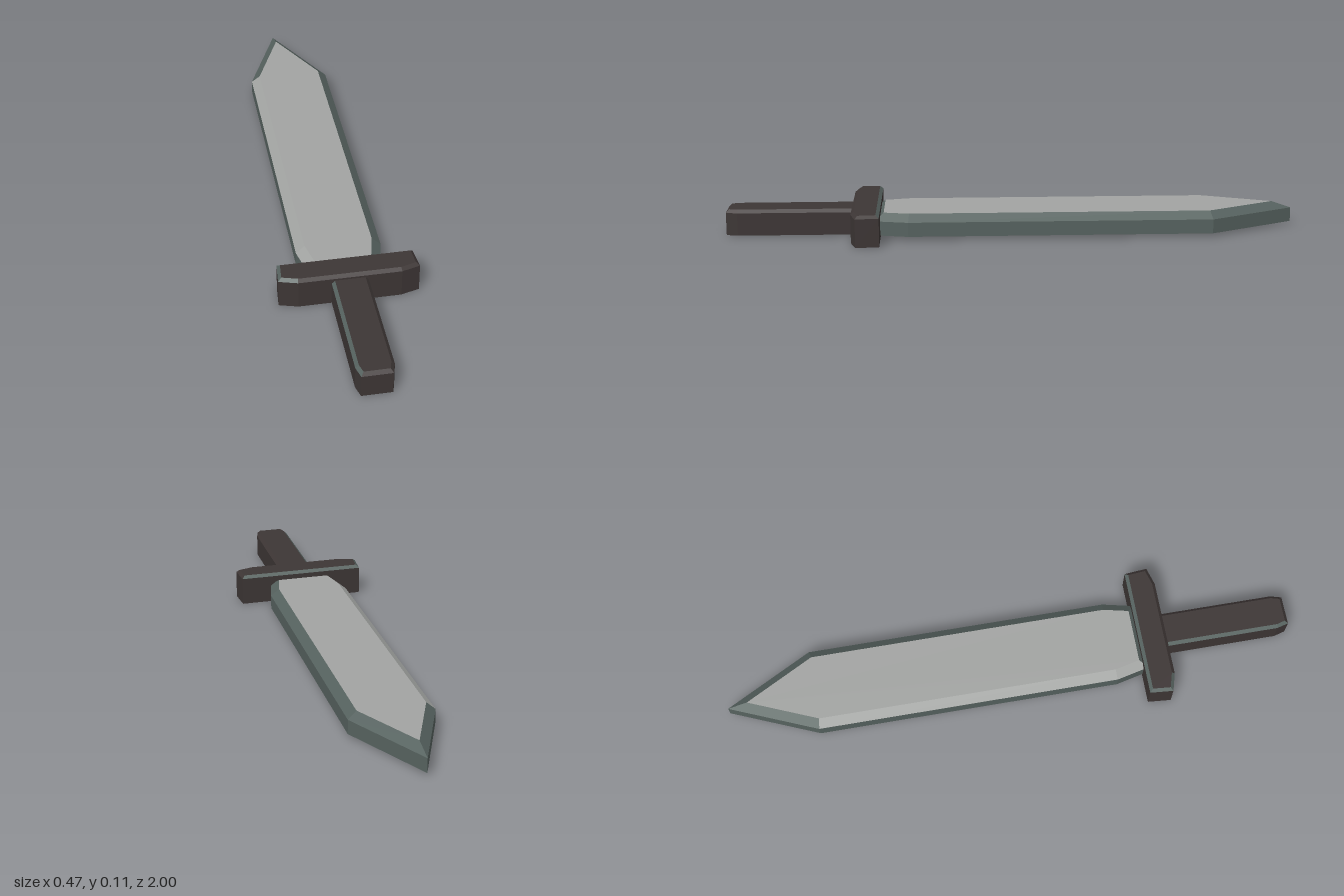
import * as THREE from 'three';

const mat = (name, color) => {
  const m = new THREE.MeshStandardMaterial({ color });
  m.name = name;
  return m;
};

// Shrinks a convex [x, z] outline by d, keeping corners mitred
function inset(outline, d) {
  const n = outline.length;
  const normal = (a, b) => {
    const dx = b[0] - a[0], dz = b[1] - a[1], l = Math.hypot(dx, dz);
    return [dz / l, -dx / l];
  };
  return outline.map((p, i) => {
    const u = normal(outline[(i + n - 1) % n], p);
    const v = normal(p, outline[(i + 1) % n]);
    const k = d / (1 + u[0] * v[0] + u[1] * v[1]);
    return [p[0] + (u[0] + v[0]) * k, p[1] + (u[1] + v[1]) * k];
  });
}

// Slab with a bevelled top edge. Outline runs counter-clockwise seen from above.
// paint = { top, side, bottom, bevel: one material index per edge }
function bevelledSlab(name, outline, [y0, y1, y2], bevel, materials, paint) {
  const pos = [];
  const geo = new THREE.BufferGeometry();
  const face = (points, material) => {
    const start = pos.length / 3;
    for (let i = 1; i < points.length - 1; i++) pos.push(...points[0], ...points[i], ...points[i + 1]);
    geo.addGroup(start, pos.length / 3 - start, material);
  };
  const ring = (o, y) => o.map(([x, z]) => [x, y, z]);
  const low = ring(outline, y0), mid = ring(outline, y1), top = ring(inset(outline, bevel), y2);
  outline.forEach((_, i) => {
    const j = (i + 1) % outline.length;
    face([low[i], low[j], mid[j], mid[i]], paint.side);
    face([mid[i], mid[j], top[j], top[i]], paint.bevel[i]);
  });
  face(top, paint.top);
  face([...low].reverse(), paint.bottom);
  geo.setAttribute('position', new THREE.Float32BufferAttribute(pos, 3));
  geo.computeVertexNormals();
  const mesh = new THREE.Mesh(geo, materials);
  mesh.name = name;
  return mesh;
}

export function createModel() {
  const group = new THREE.Group();
  group.name = 'sword';
  const materials = [
    mat('dark brown', 0x3d3635),
    mat('dark steel', 0x56625f),
    mat('light steel', 0xa2a4a2),
  ];
  const BROWN = 0, DARK = 1, LIGHT = 2;

  // Blade: pointed, with the light steel wrapping over its -x bevel
  group.add(bevelledSlab('blade',
    [[-0.02, -1], [-0.148, -0.695], [-0.148, 0.365], [-0.122, 0.48], [0.115, 0.48], [0.141, 0.365], [0.141, -0.695]],
    [0.012, 0.062, 0.087], 0.03, materials,
    { top: LIGHT, side: DARK, bottom: DARK, bevel: [DARK, LIGHT, LIGHT, DARK, DARK, DARK, DARK] }));

  // Crossguard with cut front corners
  group.add(bevelledSlab('crossguard',
    [[-0.228, 0.462], [-0.235, 0.543], [-0.172, 0.561], [0.172, 0.561], [0.235, 0.543], [0.228, 0.462]],
    [0, 0.1, 0.11], 0.011, materials,
    { top: BROWN, side: BROWN, bottom: BROWN, bevel: [DARK, DARK, BROWN, BROWN, BROWN, DARK] }));

  // Grip, tapering at the pommel end
  group.add(bevelledSlab('grip',
    [[-0.062, 0.54], [-0.062, 0.96], [-0.051, 1], [0.05, 1], [0.061, 0.96], [0.061, 0.54]],
    [0.002, 0.082, 0.093], 0.011, materials,
    { top: BROWN, side: BROWN, bottom: BROWN, bevel: [DARK, DARK, BROWN, BROWN, BROWN, BROWN] }));

  return group;
}
